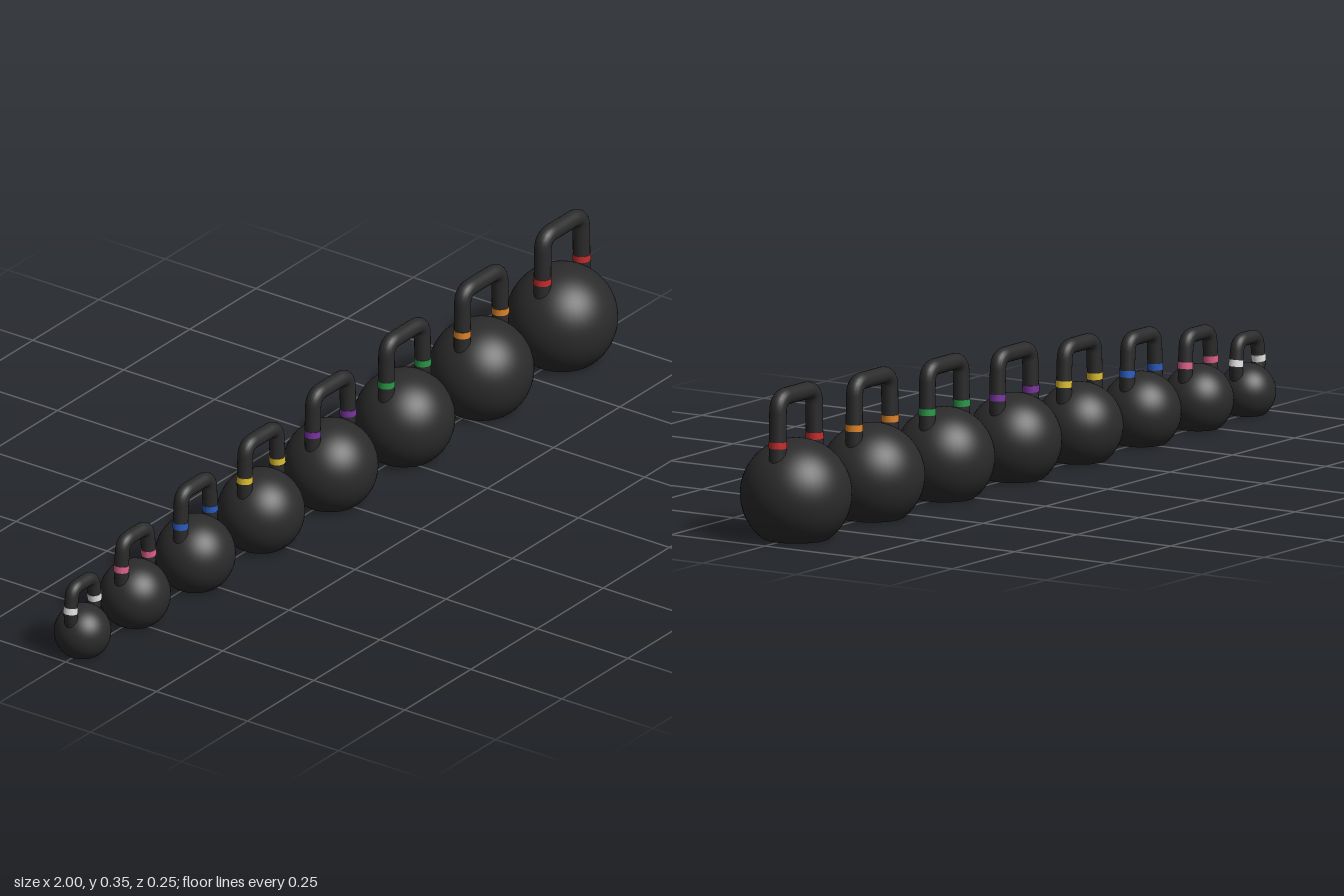
import * as THREE from 'three';

const makeMaterial = (name, color) => {
  const m = new THREE.MeshStandardMaterial({ color });
  m.name = name;
  return m;
};

// x centre, ball radius, total height, band height, half handle width at band and at top, grip radius, colour
const BELLS = [
  [-0.936, 0.064, 0.187, 0.122, 0.045, 0.038, 0.0155, 'white', 0xe6e6e6],
  [-0.738, 0.080, 0.229, 0.149, 0.051, 0.046, 0.0165, 'pink', 0xe0608c],
  [-0.510, 0.090, 0.259, 0.166, 0.056, 0.052, 0.0170, 'blue', 0x2a5cc0],
  [-0.262, 0.098, 0.281, 0.182, 0.062, 0.058, 0.0175, 'yellow', 0xe0c030],
  [0.000, 0.107, 0.302, 0.193, 0.067, 0.064, 0.0180, 'purple', 0x7a34a0],
  [0.280, 0.113, 0.319, 0.204, 0.069, 0.067, 0.0185, 'green', 0x2a9a48],
  [0.570, 0.118, 0.333, 0.213, 0.072, 0.070, 0.0190, 'orange', 0xe08428],
  [0.875, 0.125, 0.346, 0.221, 0.074, 0.072, 0.0195, 'red', 0xc82c2c],
];

const point = (x, y) => new THREE.Vector3(x, y, 0);
const flip = (p) => point(-p.x, p.y);

// Ball cut flat at the bottom, with its centre 0.8 radii above the floor
function ballGeometry(r) {
  const start = -Math.asin(0.8);
  const points = [];
  for (let i = 0; i <= 32; i++) {
    const a = start + (Math.PI / 2 - start) * i / 32;
    points.push(new THREE.Vector2(Math.max(0, r * Math.cos(a)), r * (0.8 + Math.sin(a))));
  }
  return new THREE.LatheGeometry(points, 48);
}

// Arch of two nearly upright legs, rounded corners and a level grip
function handleGeometry(foot, low, high, corner, grip) {
  const lean = (low.x - high.x) / (high.y - low.y);
  const shoulder = point(high.x + lean * corner, high.y - corner);
  const inner = point(high.x - corner, high.y);
  const path = new THREE.CurvePath();
  path.add(new THREE.LineCurve3(flip(foot), flip(low)));
  path.add(new THREE.LineCurve3(flip(low), flip(shoulder)));
  path.add(new THREE.QuadraticBezierCurve3(flip(shoulder), flip(high), flip(inner)));
  path.add(new THREE.LineCurve3(flip(inner), inner));
  path.add(new THREE.QuadraticBezierCurve3(inner, high, shoulder));
  path.add(new THREE.LineCurve3(shoulder, low));
  path.add(new THREE.LineCurve3(low, foot));
  return new THREE.TubeGeometry(path, 80, grip, 20, false);
}

export function createModel() {
  const model = new THREE.Group();
  model.name = 'kettlebellSet';
  const iron = makeMaterial('blackIron', 0x2b2b2b);

  for (const [x, r, height, bandY, bandX, topX, grip, name, color] of BELLS) {
    const bell = new THREE.Group();
    bell.name = `${name}Kettlebell`;
    bell.position.x = x;
    const add = (part, geometry, material) => {
      const mesh = new THREE.Mesh(geometry, material);
      mesh.name = part;
      bell.add(mesh);
      return mesh;
    };

    // Ball and its flat base
    add('ball', ballGeometry(r), iron);
    add('base', new THREE.CircleGeometry(r * 0.6, 48).rotateX(Math.PI / 2), iron);

    // Handle, with its feet sunk into the ball
    const topY = height - grip;
    const lean = (bandX - topX) / (topY - bandY);
    const foot = point(r * 0.6, r * 1.1);
    const low = point(bandX + lean * 0.008, bandY - 0.008);
    add('handle', handleGeometry(foot, low, point(topX, topY), r * 0.16 + 0.012, grip), iron);

    // Coloured band around each leg
    const bandMaterial = makeMaterial(`${name}Band`, color);
    for (const side of [1, -1]) {
      const ring = new THREE.CylinderGeometry(grip + 0.001, grip + 0.001, 0.015, 24);
      const band = add(side > 0 ? 'leftBand' : 'rightBand', ring, bandMaterial);
      band.position.set(side * bandX, bandY, 0);
      band.rotation.z = side * Math.atan(lean);
    }
    model.add(bell);
  }
  return model;
}
